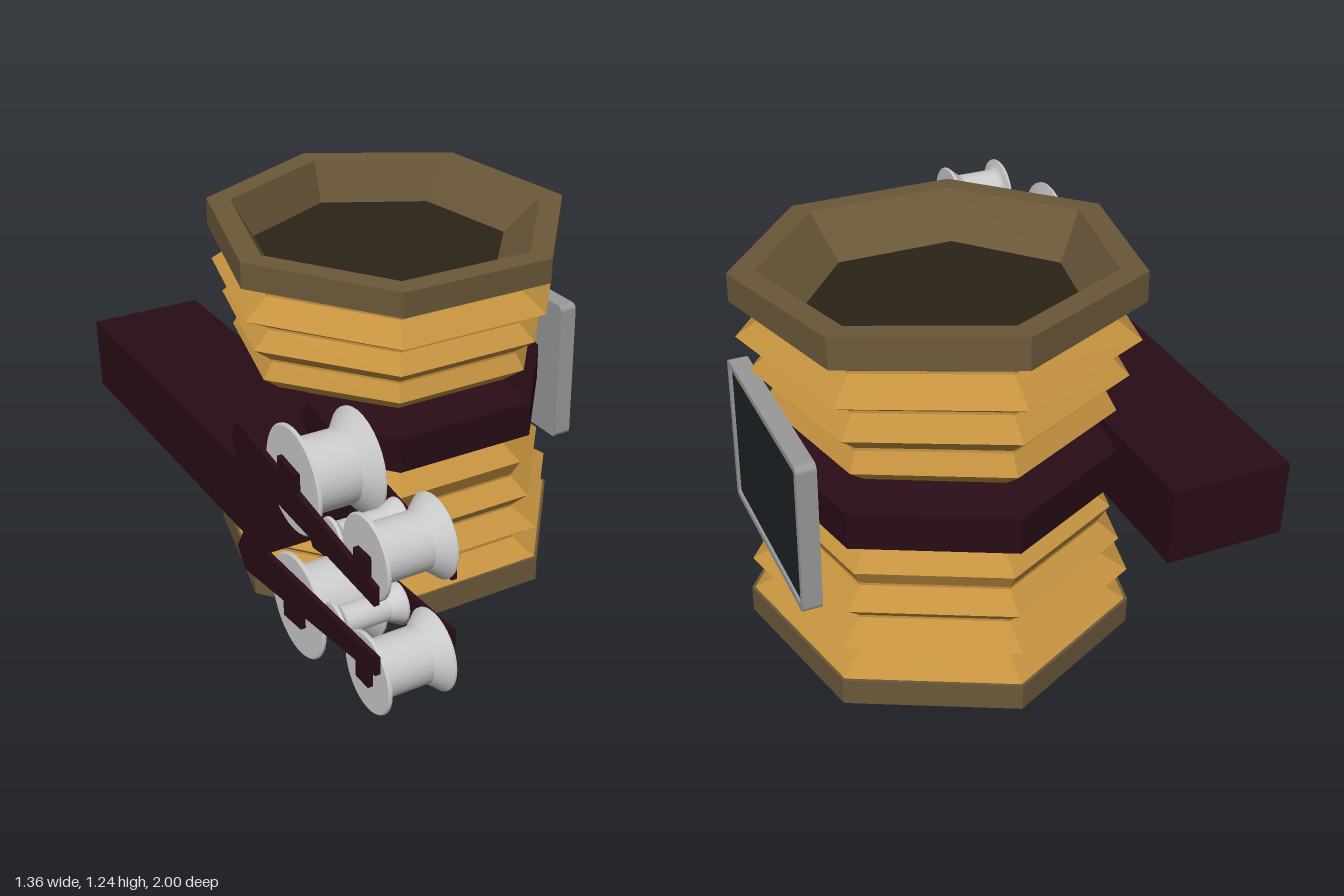
import * as THREE from 'three';

const mat = (color, flatShading = true) =>
  new THREE.MeshStandardMaterial({ color, flatShading });
const M = {
  rim: mat(0x6b5839), gold: mat(0xc4923f), dark: mat(0x280c15), floor: mat(0x2a2317),
  frame: mat(0x999999), screen: mat(0x1f2326), wheel: mat(0xcccccc, false),
};
const CX = 0.09, CZ = -0.31, MID = 0.6;

function add(parent, name, geo, material, x = 0, y = 0, z = 0) {
  const m = new THREE.Mesh(geo, material);
  m.name = name;
  m.position.set(x, y, z);
  parent.add(m);
  return m;
}

// Seven-sided lathe with one corner pointing back
function hepta(profile) {
  const pts = profile.map(([r, y]) => new THREE.Vector2(r, y));
  return new THREE.LatheGeometry(pts, 7, Math.PI);
}

// Mirror a profile about mid height, keeping it in outward order
const flip = (profile) => profile.map(([r, y]) => [r, 2 * MID - y]).reverse();

// Lean the upper half gradually toward the front
function lean(geo, shift = 0) {
  const p = geo.attributes.position;
  for (let i = 0; i < p.count; i++) {
    const y = p.getY(i), z = p.getZ(i);
    const t = THREE.MathUtils.clamp((y - 0.715) / 0.485, 0, 1);
    const inner = Math.hypot(p.getX(i), z) < 0.45 ? shift : 0;
    p.setY(i, y - 0.059 * t * z);
    p.setZ(i, z * (1 - 0.02 * t) + 0.025 * t + inner);
  }
  geo.computeVertexNormals();
  return geo;
}

// Spool wheel along x, with a thin left flange and a long right flare
function spool(R, core) {
  const w = 0.21;
  const pts = [[0, 0], [R * 0.97, 0], [R, 0.004], [R, 0.01], [core + 0.01, 0.155 - 0.1], [core, 0.065],
    [core, 0.06], [core, 0.16], [R, w - 0.008], [R, w - 0.003], [R * 0.97, w], [0, w]];
  pts[4] = [core + (R - core) * 0.3, 0.018];
  pts[5] = [core, 0.026];
  const geo = new THREE.LatheGeometry(pts.map(([r, y]) => new THREE.Vector2(r, y)), 32).toNonIndexed();
  geo.computeVertexNormals();
  // smooth around the axis, crisp between profile segments
  const p = geo.attributes.position, n = geo.attributes.normal;
  for (let i = 0; i < p.count; i += 3) {
    const ny = n.getY(i), s = Math.sqrt(Math.max(0, 1 - ny * ny));
    const inward = n.getX(i) * (p.getX(i) + p.getX(i + 1) + p.getX(i + 2)) +
      n.getZ(i) * (p.getZ(i) + p.getZ(i + 1) + p.getZ(i + 2)) < 0 ? -1 : 1;
    for (let k = i; k < i + 3; k++) {
      const r = Math.hypot(p.getX(k), p.getZ(k)) || 1;
      n.setXYZ(k, inward * s * p.getX(k) / r, ny, inward * s * p.getZ(k) / r);
    }
  }
  return geo.rotateZ(-Math.PI / 2);
}

// Flat plate drawn in (z, y), thickened toward -x
function plate(points, depth) {
  const shape = new THREE.Shape(points.map(([z, y]) => new THREE.Vector2(z, y)));
  return new THREE.ExtrudeGeometry(shape, { depth, bevelEnabled: false }).rotateY(-Math.PI / 2);
}

function roundedRect(Type, w, h, r) {
  const s = new Type(), a = w / 2 - r, b = h / 2 - r;
  s.absarc(a, b, r, 0, Math.PI / 2);
  s.absarc(-a, b, r, Math.PI / 2, Math.PI);
  s.absarc(-a, -b, r, Math.PI, Math.PI * 1.5);
  s.absarc(a, -b, r, Math.PI * 1.5, Math.PI * 2);
  s.closePath();
  return s;
}

export function createModel() {
  const root = new THREE.Group();
  root.name = 'bellowsMachine';

  // Seven-sided bellows body
  const body = new THREE.Group();
  body.name = 'body';
  body.position.set(CX, 0, CZ);
  root.add(body);

  const floor = [[0, 0.13], [0.43, 0.13]];
  const rim = [[0.43, 0.13], [0.525, 0], [0.605, 0], [0.605, 0.088], [0.5, 0.088]];
  const bellows = [[0.595, 0.088], [0.508, 0.134], [0.508, 0.142], [0.595, 0.203],
    [0.502, 0.252], [0.502, 0.26], [0.562, 0.315], [0.496, 0.367], [0.496, 0.375],
    [0.528, 0.43], [0.455, 0.487]];
  add(body, 'bottomFloor', lean(hepta(floor)), M.floor);
  add(body, 'bottomRim', lean(hepta(rim)), M.rim);
  add(body, 'lowerBellows', lean(hepta(bellows)), M.gold);
  add(body, 'upperBellows', lean(hepta(flip(bellows))), M.gold);
  add(body, 'topRim', lean(hepta(flip(rim)), -0.045), M.rim);
  add(body, 'topFloor', lean(hepta(flip(floor)), -0.045), M.floor);
  add(body, 'waistBand', lean(hepta([[0.4, 0.485], [0.455, 0.485], [0.558, 0.54],
    [0.558, 0.66], [0.455, 0.715], [0.4, 0.715]])), M.dark);

  // Long side arm
  add(root, 'sideArm', new THREE.BoxGeometry(0.375, 0.24, 1.31), M.dark, -0.4925, 0.6, -0.345);

  // Upper and lower roller carriers, mirrored about mid height
  const bar = [[0.165, 0.85], [0.12, 0.79], [0.17, 0.715], [0.31, 0.712],
    [0.955, 0.68], [0.955, 0.735]];
  const tabs = [
    [[0.85, 0.69], [0.915, 0.69], [0.915, 0.8], [0.85, 0.8]],
    [[0.42, 0.72], [0.53, 0.72], [0.53, 0.85], [0.425, 0.862]],
  ];
  const rollers = [['bigRoller', 0.477, 0.806, 0.16, 0.11], ['guideRoller', 0.695, 0.735, 0.06, 0.042],
    ['frontRoller', 0.88, 0.78, 0.118, 0.082]];
  for (const side of [1, -1]) {
    const carrier = new THREE.Group();
    carrier.name = side > 0 ? 'upperCarrier' : 'lowerCarrier';
    root.add(carrier);
    const place = (pts) => pts.map(([z, y]) => [z, MID + side * (y - MID)]);
    for (const x of [-0.435, -0.665]) {
      add(carrier, 'carrierBar', plate(place(bar), 0.016), M.dark, x);
      for (const tab of tabs) add(carrier, 'axleTab', plate(place(tab), 0.016), M.dark, x);
    }
    for (const [name, z, y, R, core] of rollers)
      add(carrier, name, spool(R, core), M.wheel, -0.664, MID + side * (y - MID), z);
  }

  // Framed display on the left side
  const display = new THREE.Group();
  display.name = 'display';
  display.position.set(0.605, 0.6, -0.345);
  display.rotation.y = Math.PI / 2;
  root.add(display);
  const outer = roundedRect(THREE.Shape, 0.635, 0.495, 0.02);
  outer.holes.push(roundedRect(THREE.Path, 0.595, 0.455, 0.008));
  add(display, 'displayFrame',
    new THREE.ExtrudeGeometry(outer, { depth: 0.06, bevelEnabled: false, curveSegments: 4 }), M.frame);
  add(display, 'displayBack', new THREE.BoxGeometry(0.6, 0.46, 0.03), M.frame, 0, 0, 0.0155);
  add(display, 'displayScreen', new THREE.BoxGeometry(0.598, 0.458, 0.02), M.screen, 0, 0, 0.042);
  return root;
}
